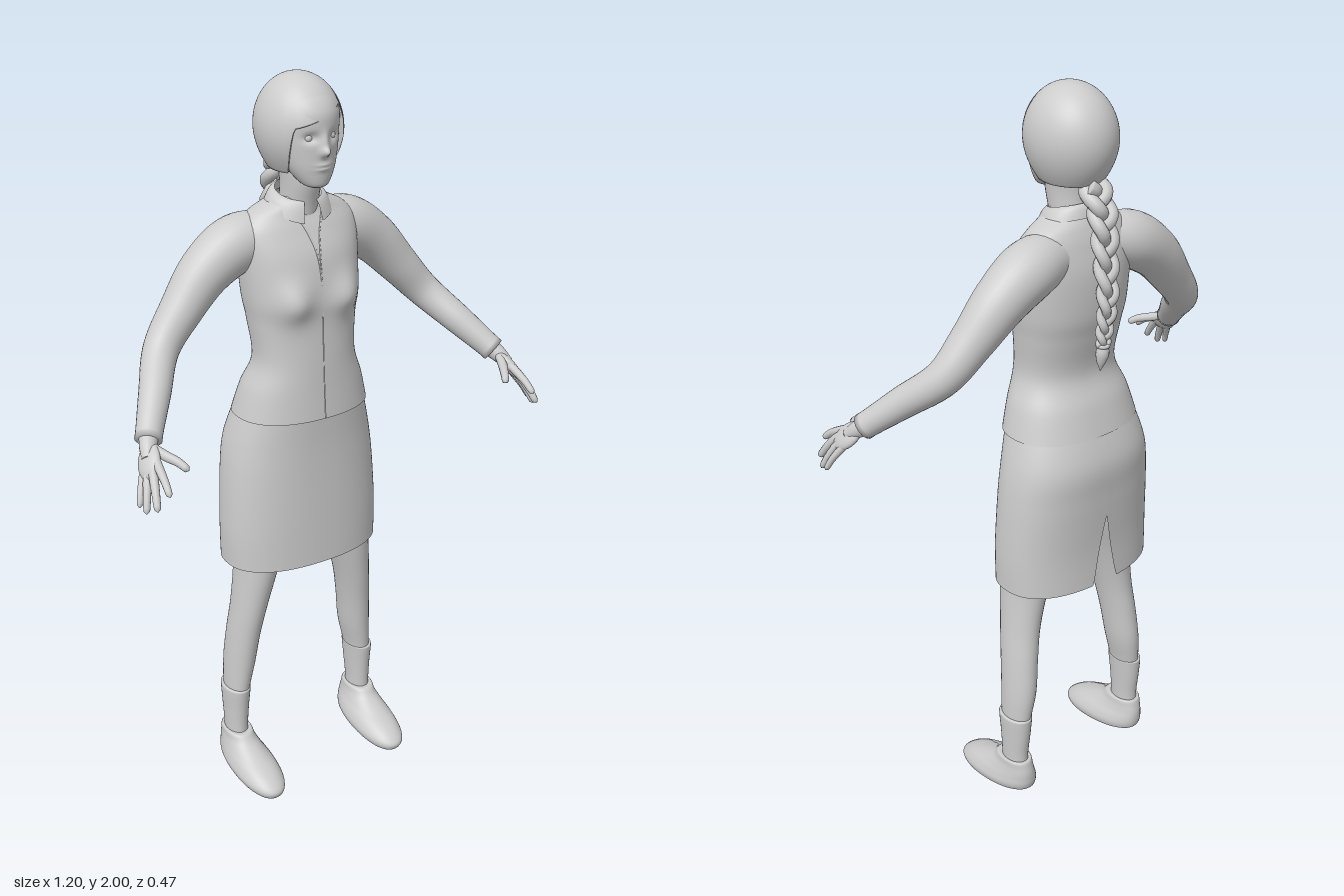
import * as THREE from 'three';

const clay = new THREE.MeshStandardMaterial({ color: 0xcccccc, side: THREE.DoubleSide });
clay.name = 'light grey';

// Surface from a rule f(u, v) -> [x, y, z]; u runs round, v runs along
function grid(f, nu, nv, closed = true, caps = false) {
  const pos = [], idx = [], cols = closed ? nu : nu + 1;
  for (let j = 0; j <= nv; j++) for (let i = 0; i < cols; i++) pos.push(...f(i / nu, j / nv));
  for (let j = 0; j < nv; j++) for (let i = 0; i < nu; i++) {
    const a = j * cols + i, b = j * cols + (i + 1) % cols;
    idx.push(a, b, b + cols, a, b + cols, a + cols);
  }
  if (caps) for (const j of [0, nv]) {
    const c = [0, 0, 0], n = pos.length / 3;
    for (let i = 0; i < cols; i++) for (let k = 0; k < 3; k++) c[k] += pos[(j * cols + i) * 3 + k] / cols;
    pos.push(...c);
    for (let i = 0; i < nu; i++) {
      const a = j * cols + i, b = j * cols + (i + 1) % cols;
      j ? idx.push(a, b, n) : idx.push(b, a, n);
    }
  }
  const g = new THREE.BufferGeometry();
  g.setAttribute('position', new THREE.Float32BufferAttribute(pos, 3));
  g.setIndex(idx);
  g.computeVertexNormals();
  return g;
}

// Smooth value between rows of numbers
function sample(rows, t) {
  const n = rows.length - 1, p = Math.min(t * n, n - 1e-6), i = Math.floor(p), w = p - i;
  const r = k => rows[Math.max(0, Math.min(n, k))];
  return rows[0].map((_, k) => {
    const a = r(i - 1)[k], b = r(i)[k], c = r(i + 1)[k], d = r(i + 2)[k];
    return b + 0.5 * w * (c - a + w * (2 * a - 5 * b + 4 * c - d + w * (3 * (b - c) + d - a)));
  });
}

// Level rings, bottom to top; row = [y, centre x, half width, front z, back z]
const rings = (rows, power = 1, bend = p => p) => (u, v) => {
  const [y, cx, rx, zf, zb] = sample(rows, v), a = u * Math.PI * 2;
  const sp = q => Math.sign(q) * Math.abs(q) ** power;
  const c = Math.cos(a);
  return bend([cx + rx * sp(Math.sin(a)), y, (zf + zb) / 2 + (zf - zb) / 2 * sp(c)], c);
};

// Round limb; point = [x, y, z, radius]
function limb(pts, nu = 16, nv = 24) {
  const curve = new THREE.CatmullRomCurve3(pts.map(p => new THREE.Vector3(p[0], p[1], p[2])));
  const fr = curve.computeFrenetFrames(nv);
  return grid((u, v) => {
    const j = Math.round(v * nv), r = sample(pts.map(p => [p[3]]), curve.getUtoTmapping(v))[0];
    return curve.getPointAt(v).addScaledVector(fr.normals[j], r * Math.cos(u * 2 * Math.PI))
      .addScaledVector(fr.binormals[j], r * Math.sin(u * 2 * Math.PI)).toArray();
  }, nu, nv, true, true);
}

function mirrored(geo) {
  const g = geo.clone().scale(-1, 1, 1), ix = g.index.array;
  for (let i = 0; i < ix.length; i += 3) [ix[i], ix[i + 1]] = [ix[i + 1], ix[i]];
  return g;
}

const bump = (d, s) => Math.exp(-((d / s) ** 2));

export function createModel() {
  const model = new THREE.Group();
  const add = (name, geo) => {
    const m = new THREE.Mesh(geo, clay);
    m.name = name;
    model.add(m);
  };
  const pair = (name, geo) => { add(name + 'Left', geo); add(name + 'Right', mirrored(geo)); };

  // Jacket body with bust
  const jacket = rings([
    [1.125, 0, .19, .055, -.212], [1.2, 0, .17, .05, -.188], [1.28, 0, .141, .046, -.157],
    [1.38, 0, .148, .04, -.172], [1.45, 0, .158, .04, -.186], [1.55, 0, .165, .025, -.187],
    [1.62, 0, .165, -.005, -.172], [1.66, 0, .135, -.025, -.158], [1.685, 0, .085, -.03, -.145],
    [1.70, 0, .055, -.035, -.135]], .88, (p, c) => {
    if (c > 0) p[2] += .026 * Math.min(1, c * 3) * bump(Math.abs(p[0]) - .08, .045) * bump(p[1] - 1.45, .05);
    return p;
  });
  add('jacket', grid(jacket, 64, 60));

  // Edges of the neckline and the front closure
  const neckline = [0, .25, .5, .75, 1].map(k => [...jacket(.045 * k * k, .5 + .3 * k), .0025]);
  pair('necklineEdge', limb(neckline, 6, 16));
  add('frontClosure', limb([0, .13, .25, .37, .5].map(v => [...jacket(0, v), .0015]), 6, 20));

  // Folded collar, open at the front
  add('collar', grid((u, v) => {
    const a = .3 + u * (2 * Math.PI - .6), f = (1 + Math.cos(a)) / 2, r = 1 - v;
    return [(.058 + .032 * r) * Math.sin(a), 1.722 - .03 * f - r * (.032 + .022 * f ** 3) + .01 * Math.sin(v * Math.PI),
      -.078 + (.06 + .018 * r) * Math.cos(a)];
  }, 48, 6, false));

  // Neck and sculpted head
  add('neck', grid(rings([[1.6, 0, .05, -.03, -.13], [1.68, 0, .048, -.018, -.13],
    [1.74, 0, .049, -.002, -.13], [1.80, 0, .055, .0, -.14]]), 32, 16));
  add('head', grid(rings([[1.735, 0, .018, .026, -.01], [1.745, 0, .036, .037, -.04], [1.78, 0, .06, .043, -.09],
    [1.82, 0, .075, .045, -.13], [1.87, 0, .084, .047, -.16], [1.92, 0, .086, .044, -.165],
    [1.96, 0, .068, .015, -.14], [1.98, 0, .02, -.03, -.1]], 1, (p, c) => {
    const [x, y] = p;
    if (c > 0) p[2] += bump(x, .012) * (.019 * bump(y - 1.828, .012) + .009 * bump(y - 1.85, .022))
      - .011 * bump(Math.abs(x) - .032, .018) * bump(y - 1.862, .012)
      + bump(x, .02) * (.007 * bump(y - 1.79, .009) - .006 * bump(y - 1.79, .003));
    return p;
  }), 120, 80, true, true));
  pair('eye', new THREE.SphereGeometry(.012, 16, 10).translate(.032, 1.861, .021));

  // Hair cap: swept fringe at the front, long at sides and back
  add('hair', grid((u, v) => {
    const t = (u - .5) * 2 * Math.PI;
    const k = THREE.MathUtils.smoothstep(Math.abs(t), .68, .98);
    const edge = THREE.MathUtils.lerp(1.27 - .28 * Math.sin(t), 2.36, k);
    const a = edge * Math.min(1, (1 - v) * 1.03), low = Math.max(0, a - Math.PI / 2);
    let r = low ? 1 - .36 * (low / .85) ** 2 : Math.sin(a);
    if (v === 0) r *= .88;
    return [.107 * r * Math.sin(t), 1.87 + .13 * (low ? -low : Math.cos(a)), -.075 + .126 * r * Math.cos(t)];
  }, 120, 40));

  // Plait of three strands, with tie and tuft
  const spine = [[1.77, -.155], [1.70, -.19], [1.60, -.203], [1.50, -.213], [1.42, -.205], [1.37, -.2]];
  for (let s = 0; s < 3; s++) {
    const pts = [];
    for (let i = 0; i <= 36; i++) {
      const t = i / 36, [y, z] = sample(spine, t), a = t * 2.6 * 2 * Math.PI + s * 2 * Math.PI / 3, w = 1 - .55 * t;
      pts.push([.026 * w * Math.sin(a), y, z + .013 * w * Math.sin(2 * a), .019 * w]);
    }
    add('plaitStrand' + (s + 1), limb(pts, 10, 100));
  }
  add('plaitTie', new THREE.TorusGeometry(.012, .006, 8, 20).rotateX(Math.PI / 2).translate(0, 1.37, -.2));
  add('plaitTuft', limb([[0, 1.38, -.2, .011], [0, 1.35, -.198, .017], [.002, 1.325, -.196, .012], [.004, 1.30, -.195, .001]]));

  // Skirt with a slit low in the back
  const skirt = rings([[.69, 0, .23, .05, -.225], [.8, 0, .231, .047, -.222], [.95, 0, .222, .043, -.229],
    [1.05, 0, .207, .042, -.231], [1.15, 0, .178, .045, -.2]], .85);
  add('skirt', grid((u, v) => {
    const gap = .022 * Math.max(0, 1 - v / .4);
    return skirt(.5 + gap + u * (1 - 2 * gap), v);
  }, 80, 40, false));

  // Legs, socks and shoes
  pair('leg', grid(rings([[.08, .21, .028, -.055, -.135], [.18, .21, .029, -.052, -.138], [.27, .207, .033, -.045, -.145],
    [.36, .196, .041, -.036, -.152], [.46, .185, .044, -.024, -.145], [.56, .17, .048, -.008, -.138],
    [.69, .147, .06, .01, -.145], [.82, .125, .078, .015, -.165], [1.0, .1, .09, .0, -.18]]), 32, 40, true, true));
  pair('sock', grid(rings([[.09, .212, .03, -.05, -.138], [.15, .212, .031, -.05, -.138], [.21, .211, .034, -.046, -.145],
    [.265, .21, .0375, -.04, -.15], [.277, .209, .037, -.04, -.15], [.278, .208, .03, -.047, -.144]]), 32, 24));
  pair('shoe', grid(rings([[0, .206, .045, .1, -.135], [.008, .206, .058, .122, -.15], [.03, .207, .064, .128, -.156],
    [.055, .208, .058, .095, -.157], [.08, .21, .048, .035, -.156], [.105, .211, .041, -.012, -.152],
    [.128, .212, .038, -.034, -.147], [.13, .212, .03, -.045, -.14]], .92, p => {
    p[1] += Math.max(0, .12 - p[2]) * .13 * (1 - p[1] / .14);
    return p;
  }), 40, 40, true, true));

  // Sleeves with cuffs
  pair('sleeve', limb([[.06, 1.60, -.1, .06], [.16, 1.585, -.112, .074], [.25, 1.53, -.112, .067], [.33, 1.445, -.1, .055],
    [.40, 1.365, -.078, .046], [.465, 1.288, .005, .04], [.515, 1.228, .07, .034], [.527, 1.213, .086, .034]], 28, 48));
  const wrist = [.523, 1.218, .08];
  pair('wrist', limb([[...wrist, .024], [.535, 1.203, .1, .022], [.548, 1.182, .125, .017]]));

  // Palm, flattened along the knuckle line
  const knuckles = [[.541, 1.178, .163], [.555, 1.163, .162], [.565, 1.150, .150], [.571, 1.142, .134]];
  const along = new THREE.Vector3(.035, -.06, .07).normalize();
  const across = new THREE.Vector3(.03, -.036, -.029).normalize();
  const thick = new THREE.Vector3().crossVectors(along, across).normalize();
  across.crossVectors(thick, along);
  pair('palm', new THREE.SphereGeometry(1, 24, 16).scale(.05, .034, .016)
    .applyMatrix4(new THREE.Matrix4().makeBasis(along, across, thick).setPosition(.548, 1.178, .128)));

  // Fingers and thumb
  const tips = [[.55, 1.132, .237], [.577, 1.093, .222], [.592, 1.078, .192], [.597, 1.085, .165]];
  const finger = (base, mid, tip, r) => {
    const near = mid.map((c, k) => c + (tip[k] - c) * .55), end = mid.map((c, k) => c + (tip[k] - c) * .93);
    near[1] += .004;
    return limb([[...base, r], [...mid, r * 1.08], [...near, r * .95], [...end, r * .75], [...tip, r * .15]], 10, 20);
  };
  tips.forEach((tip, i) => {
    const base = knuckles[i].map((c, k) => c + (wrist[k] - c) * .5);
    pair('finger' + (i + 1), finger(base, knuckles[i], tip, [.0105, .011, .0105, .009][i]));
  });
  pair('thumb', finger([.53, 1.205, .105], [.513, 1.192, .145], [.48, 1.168, .202], .0115));
  return model;
}
